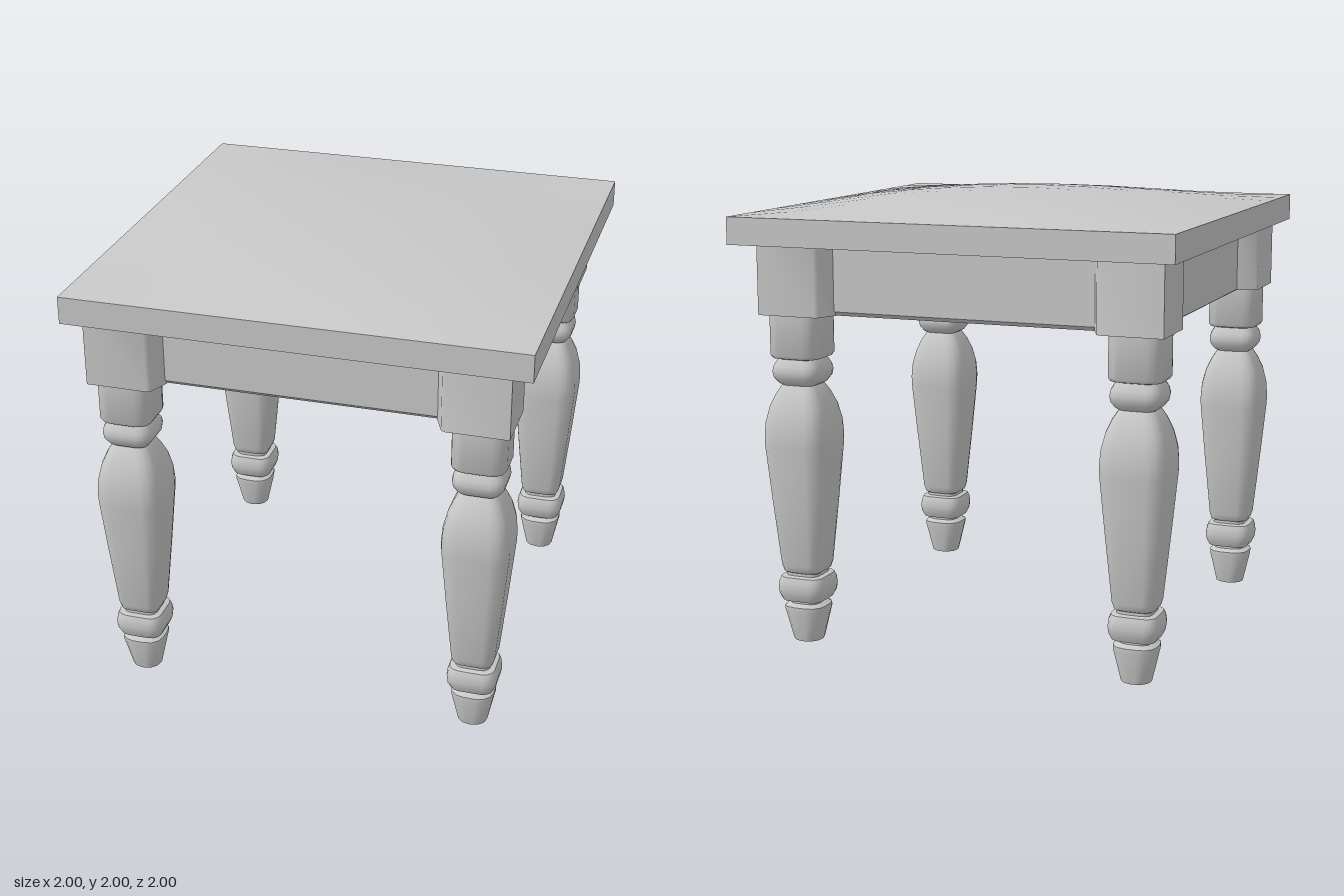
import * as THREE from 'three';
import { toCreasedNormals } from 'three/addons/utils/BufferGeometryUtils.js';

const APRON_BOTTOM = 1.49, APRON_TOP = 1.8, HALF = 0.916, LEG = 0.778;

// Leg profile: height, half width, corner roundness (1 = circle)
const LEG_PROFILE = [
  [0, 0.066, 0.9], [0.145, 0.095, 0.7], [0.163, 0.095, 0.7], [0.176, 0.07, 0.6], [0.19, 0.07, 0.6],
  [0.192, 0.095], [0.22, 0.108], [0.25, 0.112], [0.282, 0.108], [0.302, 0.1], [0.307, 0.078], [0.32, 0.078],
  [0.326, 0.088], [0.356, 0.097], [0.65, 0.125], [0.9, 0.147], [0.945, 0.148], [1.01, 0.143], [1.08, 0.126],
  [1.135, 0.102], [1.165, 0.084], [1.175, 0.077], [1.183, 0.09], [1.208, 0.108], [1.235, 0.113], [1.26, 0.108],
  [1.283, 0.095], [1.292, 0.09], [1.297, 0.11], [1.31, 0.118], [APRON_BOTTOM + 0.01, 0.118],
];

// One loop of a rounded square, counted from +x towards +z
function roundedSquare(w, k, steps = 3) {
  const pts = [], r = w * k;
  for (let c = 0; c < 4; c++) {
    const mid = Math.PI / 4 + c * Math.PI / 2;
    const cx = Math.sign(Math.cos(mid)) * (w - r), cz = Math.sign(Math.sin(mid)) * (w - r);
    for (let i = 0; i <= steps; i++) {
      const a = c * Math.PI / 2 + (i / steps) * Math.PI / 2;
      pts.push([cx + r * Math.cos(a), cz + r * Math.sin(a)]);
    }
  }
  return pts;
}

// Skin the leg loops from foot to block, with a cap under the foot
function legGeometry() {
  const pos = [], idx = [];
  let n = 0;
  for (const [y, w, k = 0.48] of LEG_PROFILE) {
    const ring = roundedSquare(w, k);
    n = ring.length;
    for (const [x, z] of ring) pos.push(x, y, z);
  }
  for (let j = 0; j < LEG_PROFILE.length - 1; j++) {
    for (let i = 0; i < n; i++) {
      const a = j * n + i, b = j * n + (i + 1) % n;
      idx.push(a, a + n, b, b, a + n, b + n);
    }
  }
  for (let i = 1; i < n - 1; i++) idx.push(0, i, i + 1);
  const geo = new THREE.BufferGeometry();
  geo.setAttribute('position', new THREE.Float32BufferAttribute(pos, 3));
  geo.setIndex(idx);
  return toCreasedNormals(geo, 0.75);
}

// Corner block with softened chamfers beside the aprons; outer corner at +x, +z
function blockGeometry() {
  const side = [[0.272, 0], [0.287, 0.01], [0.325, 0.1]];
  const plan = [[0, 0], ...side, [0.19, 0.19], ...side.map(([u, v]) => [v, u]).reverse()];
  const shape = new THREE.Shape(plan.map(([u, v]) => new THREE.Vector2(HALF - u, HALF - v)));
  const geo = new THREE.ExtrudeGeometry(shape, { depth: APRON_TOP - APRON_BOTTOM, bevelEnabled: false });
  geo.rotateX(Math.PI / 2);
  geo.translate(0, APRON_TOP, 0);
  return toCreasedNormals(geo, 0.7);
}

// Apron rail along x on the +z side, with a chamfered lower outer edge
function railGeometry(chamfer) {
  const out = HALF - 0.09, inn = HALF - 0.2, length = 2 * inn + 0.04;
  const section = [[inn, APRON_BOTTOM], [out - chamfer, APRON_BOTTOM], [out, APRON_BOTTOM + chamfer],
    [out, APRON_TOP], [inn, APRON_TOP]];
  const shape = new THREE.Shape(section.map(([z, y]) => new THREE.Vector2(-z, y)));
  const geo = new THREE.ExtrudeGeometry(shape, { depth: length, bevelEnabled: false });
  geo.translate(0, 0, -length / 2);
  return geo.rotateY(Math.PI / 2);
}

// Square slab whose upper face swells into a shallow dome
function topGeometry() {
  const size = 1.995, half = size / 2;
  const geo = new THREE.BoxGeometry(size, 0.12, size, 10, 1, 10);
  geo.translate(0, APRON_TOP + 0.06, 0);
  const p = geo.attributes.position;
  for (let i = 0; i < p.count; i++) {
    if (p.getY(i) < 1.9) continue;
    const x = p.getX(i) / half, z = p.getZ(i) / half;
    p.setY(i, 1.92 + 0.08 * (1 - x * x) * (1 - z * z));
  }
  geo.computeVertexNormals();
  return geo;
}

export function createModel() {
  const group = new THREE.Group();
  group.name = 'sideTable';
  const grey = new THREE.MeshStandardMaterial({ color: 0xc8c8c8 });
  grey.name = 'plainGrey';

  const add = (parent, name, geo) => {
    const mesh = new THREE.Mesh(geo, grey);
    mesh.name = name;
    parent.add(mesh);
    return mesh;
  };

  add(group, 'tableTop', topGeometry());

  // The base sits slightly off centre under the top
  const base = new THREE.Group();
  base.name = 'base';
  base.position.x = -0.016;
  group.add(base);

  const leg = legGeometry(), block = blockGeometry();
  const rails = [railGeometry(0.018), railGeometry(0.004)];
  const corners = ['frontLeft', 'backLeft', 'backRight', 'frontRight'];
  const sides = ['front', 'left', 'back', 'right'];
  for (let i = 0; i < 4; i++) {
    const turn = new THREE.Group();
    turn.name = corners[i] + 'Quarter';
    turn.rotation.y = i * Math.PI / 2;
    base.add(turn);
    add(turn, corners[i] + 'Leg', leg).position.set(LEG, 0, LEG);
    add(turn, corners[i] + 'Block', block);
    add(turn, sides[i] + 'Apron', rails[i % 2]);
  }
  return group;
}
